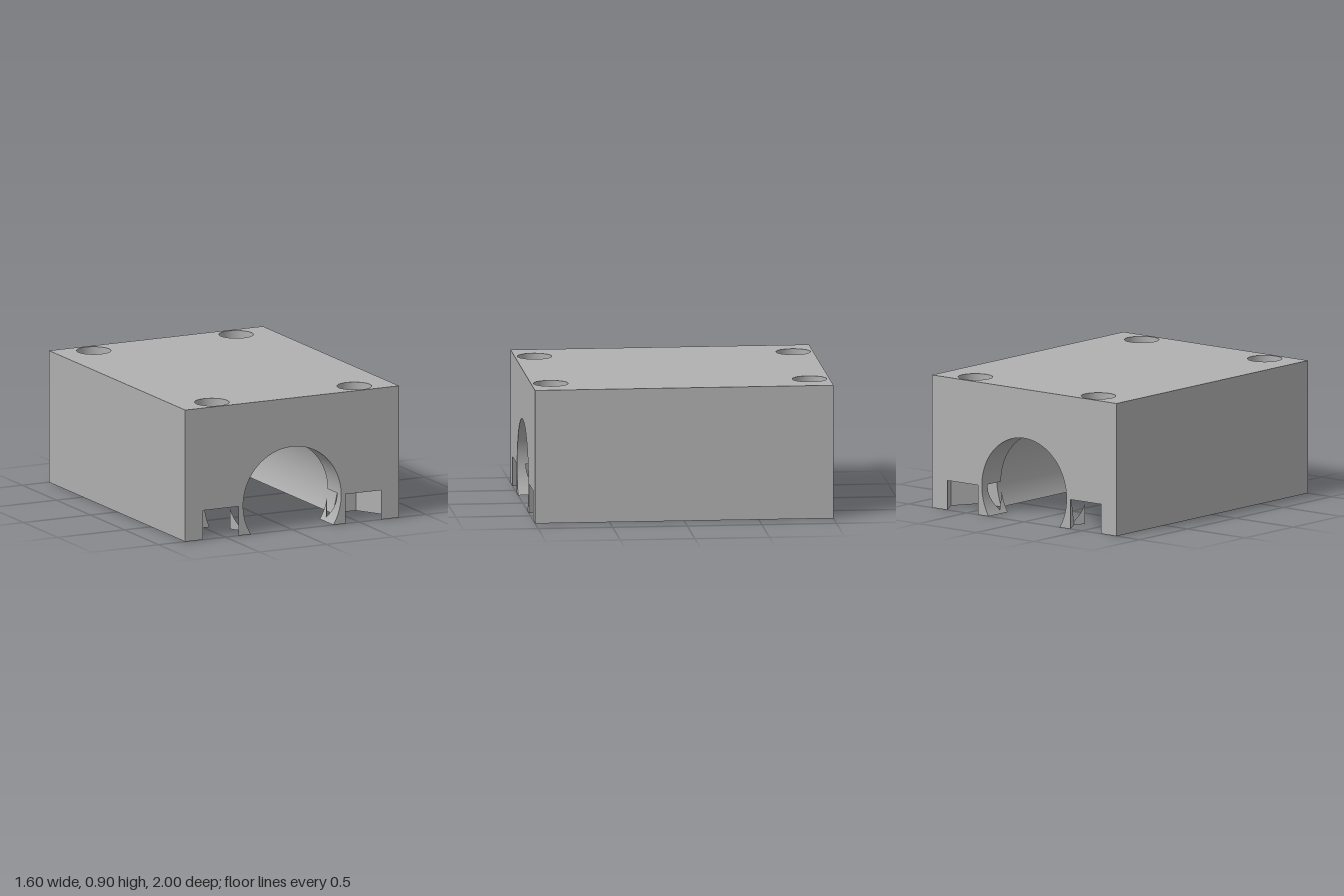
import * as THREE from 'three';

// Block, stepped bore, bolt hole and nut pocket dimensions
const W = 0.8, H = 0.9, D = 1;
const AXIS = 0.2, R1 = 0.367, R2 = 0.5, LIP = 0.8;
const HX = 0.533, HZ = 0.867, HR = 0.115;
const NUT = 0.21, NUT_H = 0.2, NUT_BACK = HZ - NUT * Math.sqrt(3) / 2;
const S3 = Math.sqrt(3);

const half = (r, off) => Math.sqrt(Math.max(0, r * r - off * off));
const B1 = half(R1, AXIS), B2 = half(R2, AXIS);      // bore half widths at the base
const nutFront = NUT - (D - HZ) / S3;                // pocket half width at the end face
const nutLipX = HX - NUT + (HZ - LIP) / S3;          // pocket inner wall at the lip
const holeLipX = HX - half(HR, HZ - LIP);            // hole edge at the lip

const arc = (cx, cy, r, a0, a1, n) => Array.from({ length: n + 1 }, (_, i) => {
  const a = a0 + (a1 - a0) * i / n;
  return [cx + r * Math.cos(a), cy + r * Math.sin(a)];
});
const toV2 = (pts) => pts.map(([x, y]) => new THREE.Vector2(x, y));

// Flat face from an outline, facing +z
function plate(outline, holes = []) {
  const shape = new THREE.Shape(toV2(outline));
  holes.forEach((h) => shape.holes.push(new THREE.Path(toV2(h))));
  return new THREE.ShapeGeometry(shape);
}
// Flat horizontal face from an outline in x and z, facing down
const floorPlate = (outline, y, holes) => plate(outline, holes).rotateX(Math.PI / 2).translate(0, y, 0);

// Ribbon between two edges given by f(t) = [pointA, pointB]
function ribbon(n, f) {
  const pos = [], index = [];
  for (let i = 0; i <= n; i++) {
    const [a, b] = f(i / n);
    pos.push(...a, ...b);
    if (i < n) index.push(2 * i, 2 * i + 1, 2 * i + 2, 2 * i + 1, 2 * i + 3, 2 * i + 2);
  }
  const g = new THREE.BufferGeometry();
  g.setAttribute('position', new THREE.Float32BufferAttribute(pos, 3));
  g.setIndex(index);
  g.computeVertexNormals();
  return g;
}

// Bore wall over an angle range; span(x) gives its z limits
const boreWall = (r, a0, a1, n, span) => ribbon(n, (t) => {
  const a = a0 + (a1 - a0) * t;
  const x = r * Math.cos(a), y = AXIS + r * Math.sin(a);
  const [z0, z1] = span(Math.abs(x));
  return [[x, y, z0], [x, y, z1]];
});

export function createModel() {
  const model = new THREE.Group();
  model.name = 'bearingBlock';
  const grey = new THREE.MeshStandardMaterial({ color: 0xb0b0b0, side: THREE.DoubleSide });
  grey.name = 'grey';

  const add = (name, geometry, sx = 1, sz = 1) => {
    const mesh = new THREE.Mesh(geometry, grey);
    mesh.name = name;
    mesh.scale.set(sx, 1, sz);
    model.add(mesh);
  };
  const ends = (name, g) => [1, -1].forEach((sz) => add(name, g, 1, sz));
  const sides = (name, g) => [1, -1].forEach((sx) => add(name, g, sx, 1));
  const corners = (name, g) => [1, -1].forEach((sx) => [1, -1].forEach((sz) => add(name, g, sx, sz)));

  // Top with four bolt holes
  const holes = [];
  for (const sx of [1, -1]) for (const sz of [1, -1]) holes.push(arc(sx * HX, sz * HZ, HR, 0, 2 * Math.PI, 48).slice(0, -1));
  add('top', floorPlate([[-W, -D], [W, -D], [W, D], [-W, D]], H, holes));

  // Outer sides
  sides('side', new THREE.PlaneGeometry(2 * D, H).rotateY(Math.PI / 2).translate(W, H / 2, 0));

  // End faces with the arch and pocket notches
  const a1 = Math.asin(AXIS / R1), a2 = Math.asin(AXIS / R2);
  const endHalf = [[W, H], [W, 0], [HX + nutFront, 0], [HX + nutFront, NUT_H],
    [HX - nutFront, NUT_H], [HX - nutFront, 0], ...arc(0, AXIS, R1, -a1, Math.PI / 2, 36)];
  const endMirror = endHalf.slice(0, -1).reverse().map(([x, y]) => [-x, y]);
  ends('endFace', plate([...endHalf, ...endMirror]).translate(0, 0, D));

  // Base: long feet and the small slivers beside the pockets
  const footHalf = [[W, D], [HX + nutFront, D], [HX + NUT, HZ], [HX + NUT / 2, NUT_BACK], [B2, NUT_BACK]];
  const footMirror = [...footHalf].reverse().map(([x, z]) => [x, -z]);
  sides('foot', floorPlate([...footHalf, ...footMirror], 0));
  corners('footSliver', floorPlate([[B1, D], [HX - nutFront, D], [HX - NUT, HZ], [nutLipX, LIP], [B1, LIP]], 0));

  // Wide bearing seat, opened by the bolt holes above and the pockets below
  const seatEnd = (x) => (x > holeLipX ? Math.min(LIP, HZ - half(HR, x - HX)) : LIP);
  add('bearingSeat', boreWall(R2, 0, Math.PI, 120, (x) => [-seatEnd(x), seatEnd(x)]));
  sides('bearingSeatLower', boreWall(R2, -a2, 0, 16, () => [-NUT_BACK, NUT_BACK]));

  // Narrow end bores, broken by the pocket corners below the axis
  ends('endBore', boreWall(R1, 0, Math.PI, 72, () => [LIP, D]));
  const cut = (x) => Math.max(0, (x - HX + NUT) * S3);
  corners('endBoreLowerInner', boreWall(R1, -a1, 0, 24, (x) => [LIP, Math.max(LIP, HZ - cut(x))]));
  corners('endBoreLowerOuter', boreWall(R1, -a1, 0, 24, (x) => [HZ + cut(x), D]));

  // Lips between seat and end bores
  const ah = Math.acos(holeLipX / R2);
  ends('lip', plate([...arc(0, AXIS, R2, ah, Math.PI - ah, 72), [-holeLipX, AXIS],
    ...arc(0, AXIS, R1, Math.PI, 0, 72), [holeLipX, AXIS]]).translate(0, 0, LIP));
  corners('lipLower', plate([...arc(0, AXIS, R1, -Math.acos(nutLipX / R1), -a1, 10),
    [nutLipX, 0]]).translate(0, 0, LIP));

  // Bolt hole walls, trimmed where they meet the seat
  corners('boltHole', ribbon(144, (t) => {
    const a = t * 2 * Math.PI;
    const x = HX + HR * Math.cos(a), z = HZ + HR * Math.sin(a);
    const y = z < LIP && x < R2 ? AXIS + half(R2, x) : NUT_H;
    return [[x, y, z], [x, H, z]];
  }));

  // Nut pocket ceilings around the bolt holes
  const start = Math.atan2(-half(HR, R2 - HX), R2 - HX);
  const stop = Math.atan2(LIP - HZ, holeLipX - HX) - 2 * Math.PI;
  const breakZ = HZ + cut(R1);
  const around = arc(HX, HZ, HR, start, stop + 4 * Math.PI, 48);
  corners('pocketCeiling', floorPlate([[HX - nutFront, D], [HX + nutFront, D], [HX + NUT, HZ],
    [HX + NUT / 2, NUT_BACK], [R2, NUT_BACK], ...around, [R1, LIP], [R1, breakZ]], NUT_H));

  // Nut pocket walls, cut away where the bore passes through
  const path = [[HX + nutFront, D], [HX + NUT, HZ], [HX + NUT / 2, NUT_BACK], [R2, NUT_BACK],
    [B2, NUT_BACK], [nutLipX, LIP], [HX - NUT, HZ], [R1, breakZ], [HX - nutFront, D]];
  path.slice(1).forEach(([x1, z1], i) => {
    const [x0, z0] = path[i];
    if (x0 === B2) return; // open to the seat
    const r = (z0 + z1) / 2 < LIP && x1 < HX ? R2 : R1;
    corners('pocketWall', ribbon(12, (t) => {
      const x = x0 + (x1 - x0) * t, z = z0 + (z1 - z0) * t;
      return [[x, 0, z], [x, Math.max(0, NUT_H - half(r, x)), z]];
    }));
  });
  return model;
}
